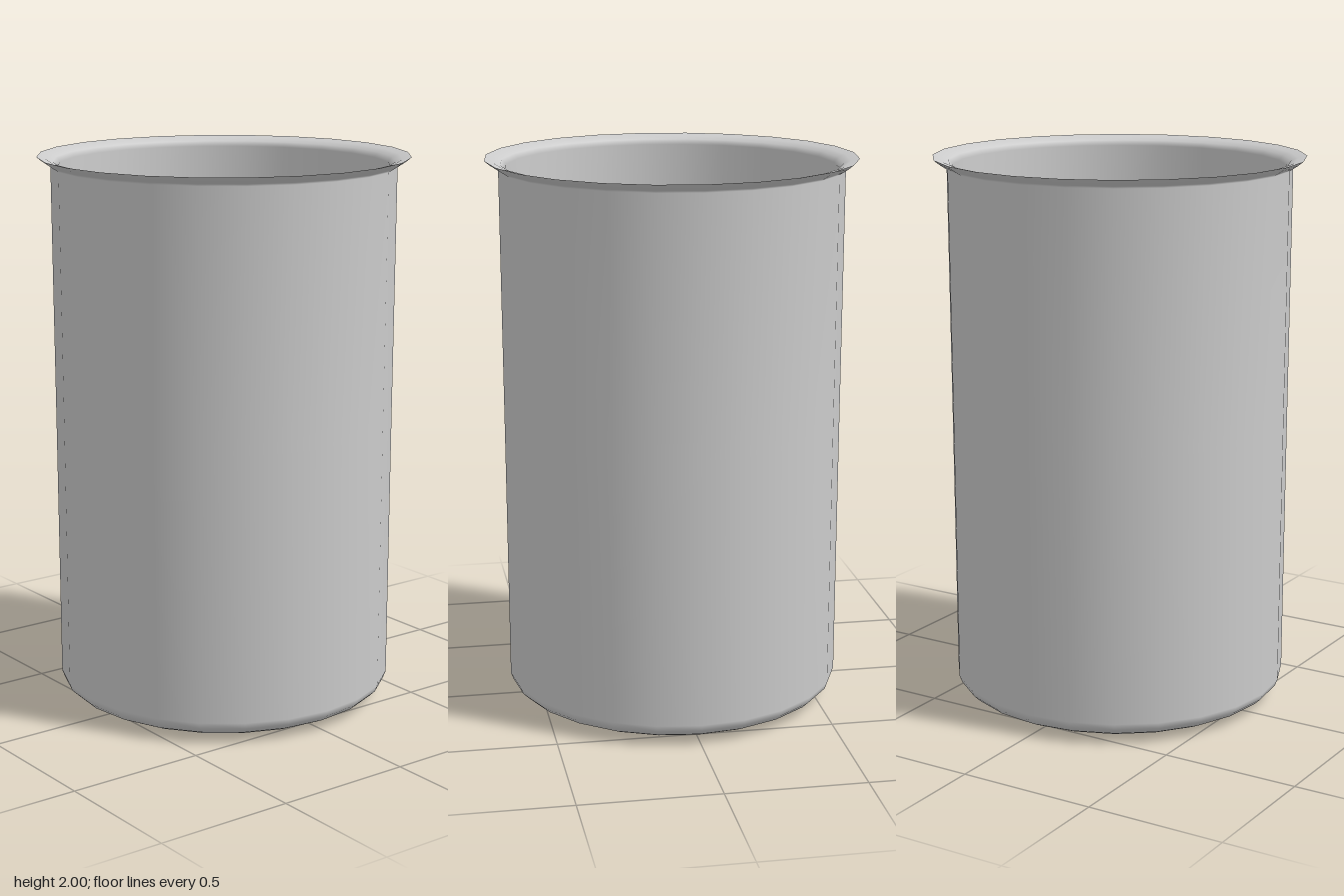
import * as THREE from 'three';

const SIDES = 24;

// Smooth turned surface from [radius, height] pairs
function turned(name, profile) {
  const points = profile.map(([r, y]) => new THREE.Vector2(r, y));
  const mesh = new THREE.Mesh(
    new THREE.LatheGeometry(points, SIDES),
    new THREE.MeshStandardMaterial({ color: 0xcccccc, side: THREE.DoubleSide })
  );
  mesh.name = name;
  return mesh;
}

export function createModel() {
  const group = new THREE.Group();
  group.name = 'beaker';

  // Outside: flat base, rounded heel, straight wall, underside of the flared rim
  group.add(turned('outerWall', [
    [0, 0], [0.26, 0.002], [0.5, 0.008], [0.545, 0.018], [0.58, 0.035],
    [0.602, 0.056], [0.611, 0.08], [0.614, 1.05], [0.618, 1.965],
    [0.632, 1.974], [0.65, 1.986], [0.667, 2]
  ]));

  // Inside: top of the rim, lip, straight wall, rounded corner, floor
  group.add(turned('innerWall', [
    [0.667, 2], [0.635, 1.993], [0.61, 1.983], [0.595, 1.965],
    [0.59, 1.05], [0.587, 0.1], [0.575, 0.07], [0.548, 0.046],
    [0.48, 0.03], [0.26, 0.024], [0, 0.022]
  ]));

  return group;
}
